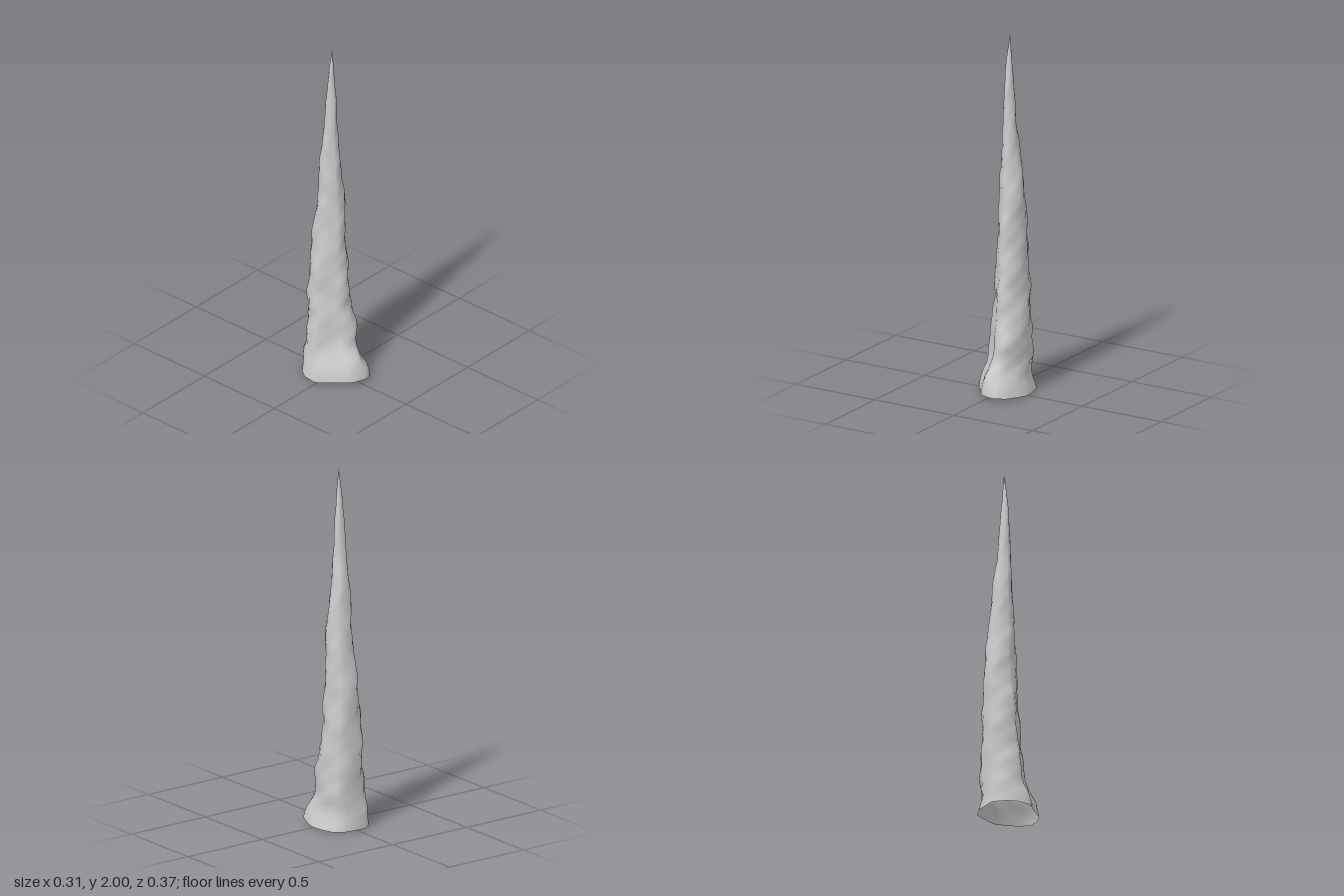
import * as THREE from 'three';

// Height, then the extents of the section: xMin, xMax, zMin, zMax
const SECTIONS = [
  [0, -0.157, 0.155, -0.187, 0.187],
  [0.05, -0.15, 0.14, -0.18, 0.185],
  [0.1, -0.14, 0.122, -0.175, 0.163],
  [0.15, -0.127, 0.12, -0.175, 0.125],
  [0.2, -0.115, 0.12, -0.175, 0.1],
  [0.3, -0.11, 0.125, -0.17, 0.092],
  [0.45, -0.1, 0.112, -0.17, 0.062],
  [0.65, -0.085, 0.102, -0.167, 0.045],
  [0.82, -0.063, 0.093, -0.165, 0.035],
  [1.0, -0.053, 0.092, -0.14, 0.025],
  [1.1, -0.045, 0.09, -0.127, 0.02],
  [1.2, -0.046, 0.08, -0.117, 0.01],
  [1.35, -0.036, 0.06, -0.11, 0],
  [1.5, -0.026, 0.046, -0.085, -0.008],
  [1.7, -0.018, 0.036, -0.07, -0.015],
  [1.85, -0.008, 0.026, -0.056, -0.028],
  [1.93, 0.004, 0.021, -0.05, -0.033],
  [2.0, 0.013, 0.015, -0.043, -0.041],
];

// Irregular foot outline (x, z), from the right side round by the front
const FOOT = [
  [-0.157, -0.02], [-0.145, 0.015], [-0.1, 0.07], [-0.05, 0.147],
  [-0.02, 0.168], [0.03, 0.185], [0.065, 0.185], [0.11, 0.147],
  [0.14, 0.07], [0.155, 0.01], [0.15, -0.05], [0.125, -0.14],
  [0.065, -0.175], [-0.055, -0.187], [-0.11, -0.145], [-0.147, -0.095],
];

function sectionAt(y) {
  let i = 0;
  while (i < SECTIONS.length - 2 && SECTIONS[i + 1][0] < y) i++;
  const a = SECTIONS[i], b = SECTIONS[i + 1];
  const t = (y - a[0]) / (b[0] - a[0]);
  return a.map((v, k) => THREE.MathUtils.lerp(v, b[k], t));
}

function spireGeometry() {
  const rows = 56, n = FOOT.length;
  const positions = [], index = [];
  for (let r = 0; r <= rows; r++) {
    const y = (2 * r) / rows;
    const [, x0, x1, z0, z1] = sectionAt(y);
    // the foot outline becomes rounder with height
    const round = THREE.MathUtils.smoothstep(y, 0, 1);
    const rough = THREE.MathUtils.smoothstep(y, 0, 0.15);
    FOOT.forEach(([fx, fz], i) => {
      let u = fx / 0.156, v = fz / 0.187;
      const angle = Math.atan2(v, u);
      u = THREE.MathUtils.lerp(u, Math.cos(angle), round);
      v = THREE.MathUtils.lerp(v, Math.sin(angle), round);
      // weathered lumps and a long groove on the front right
      const lumps = 0.035 * Math.sin(17 * y + 3 * angle) + 0.03 * Math.sin(31 * y - 2 * angle + 1)
        + 0.02 * Math.sin(53 * y + 5 * angle);
      const groove = (i === 2 || i === 3) ? 0.13 * (1 - THREE.MathUtils.smoothstep(y, 0.5, 1)) : 0;
      const k = 1 + rough * (lumps - groove);
      // the front of the rim lifts a little off the ground
      const lift = r === 0 ? 0.015 * Math.max(0, v) : 0;
      positions.push((x0 + x1) / 2 + u * k * (x1 - x0) / 2, y + lift, (z0 + z1) / 2 + v * k * (z1 - z0) / 2);
      if (r < rows) {
        const a = r * n + i, b = r * n + (i + 1) % n;
        index.push(a, b, b + n, a, b + n, a + n);
      }
    });
  }
  // close the tip
  const tip = positions.length / 3;
  positions.push(0.014, 2, -0.042);
  for (let i = 0; i < n; i++) index.push(rows * n + i, rows * n + (i + 1) % n, tip);

  const geometry = new THREE.BufferGeometry();
  geometry.setAttribute('position', new THREE.Float32BufferAttribute(positions, 3));
  geometry.setIndex(index);
  geometry.computeVertexNormals();
  return geometry;
}

export function createModel() {
  const group = new THREE.Group();
  group.name = 'stalagmite';
  // hollow shell, open underneath
  const material = new THREE.MeshStandardMaterial({ color: 0xcccccc, side: THREE.DoubleSide });
  const spire = new THREE.Mesh(spireGeometry(), material);
  spire.name = 'rockSpire';
  group.add(spire);
  return group;
}
